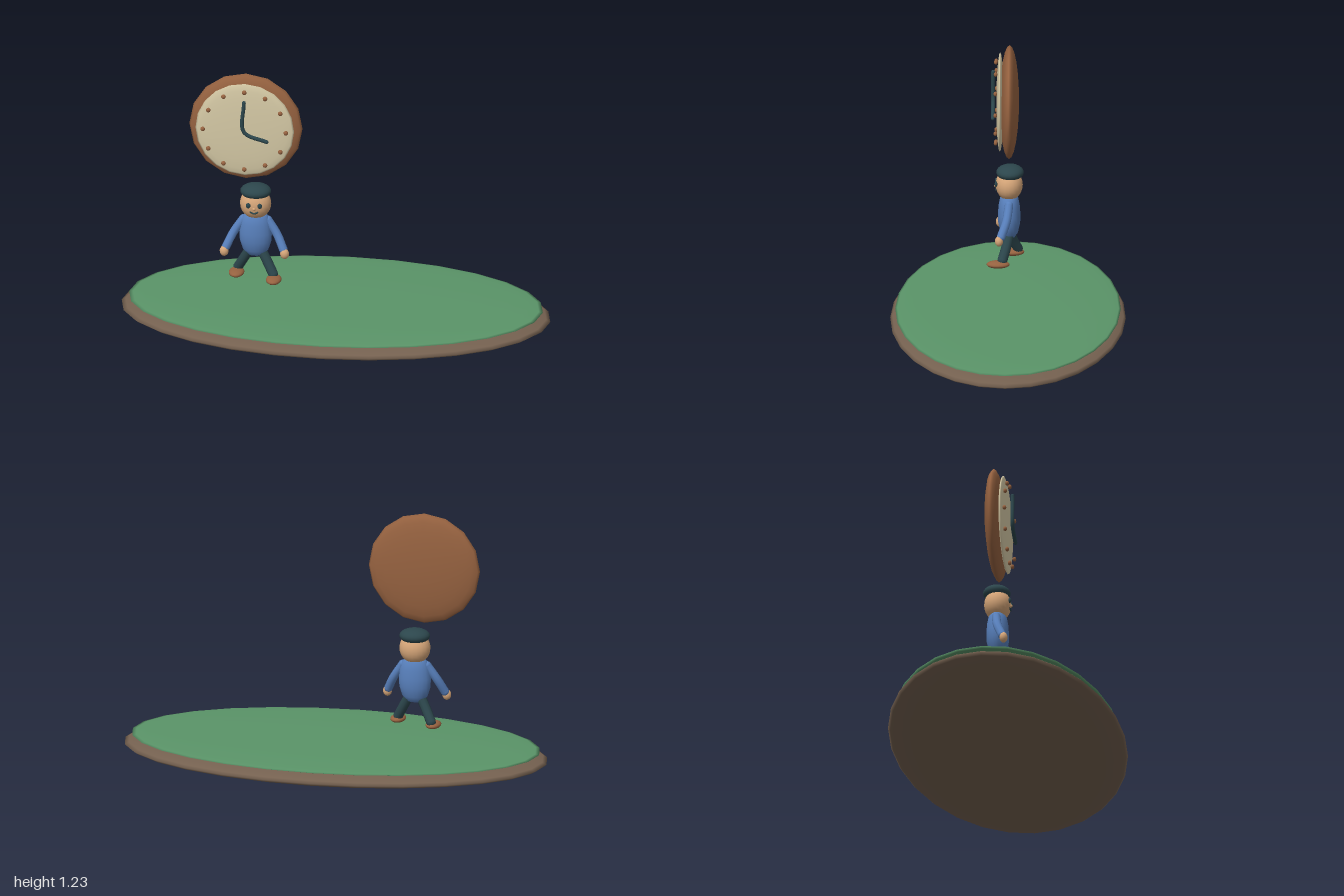
import * as THREE from 'three';

const paint = (name, color) => {
  const m = new THREE.MeshStandardMaterial({ color });
  m.name = name;
  return m;
};

export function createModel() {
  const grassGreen = paint('grass green', 0x5a9468);
  const earthBrown = paint('earth brown', 0x756150);
  const woodBrown = paint('wood brown', 0x966240);
  const cream = paint('cream', 0xd6caa6);
  const slate = paint('dark slate', 0x2c464c);
  const shirtBlue = paint('shirt blue', 0x5880bc);
  const skin = paint('skin', 0xd6a679);

  const model = new THREE.Group();
  model.name = 'clockAndWalker';

  const add = (parent, name, geometry, material, x = 0, y = 0, z = 0) => {
    const mesh = new THREE.Mesh(geometry, material);
    mesh.name = name;
    mesh.position.set(x, y, z);
    parent.add(mesh);
    return mesh;
  };
  const ball = (parent, name, material, [x, y, z], [rx, ry, rz], w = 20, h = 14) =>
    add(parent, name, new THREE.SphereGeometry(1, w, h).scale(rx, ry, rz), material, x, y, z);
  // round-ended tube through a few points
  const limb = (parent, name, material, points, r) => {
    const curve = new THREE.CatmullRomCurve3(points.map(p => new THREE.Vector3(...p)));
    add(parent, name, new THREE.TubeGeometry(curve, 14, r, 10), material);
    for (const p of [points[0], points[points.length - 1]])
      ball(parent, name + 'End', material, p, [r, r, r], 10, 8);
  };

  // island: flattened earth with a grass lens on top
  const island = new THREE.Group();
  island.name = 'island';
  model.add(island);
  ball(island, 'earth', earthBrown, [0, 0.061, 0], [1, 0.058, 0.545], 28, 16);
  ball(island, 'grass', grassGreen, [0, 0.106, 0], [0.965, 0.017, 0.522], 28, 16);

  // clock: its lenses have their poles along z
  const clock = new THREE.Group();
  clock.name = 'clock';
  clock.position.set(-0.42, 0.972, 0);
  model.add(clock);
  const disc = (name, material, r, depth, z, sides) =>
    add(clock, name, new THREE.SphereGeometry(1, sides, 12).rotateX(Math.PI / 2).scale(r, r, depth), material, 0, 0, z);
  disc('clockRim', woodBrown, 0.264, 0.045, 0, 16);
  disc('clockFace', cream, 0.23, 0.017, 0.043, 20);
  for (let i = 0; i < 12; i++) {
    const a = i * Math.PI / 6;
    ball(clock, 'hourMark', woodBrown, [Math.sin(a) * 0.194, Math.cos(a) * 0.194, 0.062], [0.011, 0.011, 0.009], 10, 8);
  }
  limb(clock, 'clockHands', slate, [[0, 0.148, 0.075], [0, 0, 0.075], [0.106, -0.044, 0.075]], 0.009);

  // walking figure
  const figure = new THREE.Group();
  figure.name = 'figure';
  figure.position.x = -0.375;
  model.add(figure);

  const profile = [[0, 0.322], [0.035, 0.328], [0.06, 0.355], [0.074, 0.4], [0.076, 0.44],
    [0.071, 0.485], [0.061, 0.52], [0.045, 0.533], [0, 0.537]].map(p => new THREE.Vector2(...p));
  add(figure, 'torso', new THREE.LatheGeometry(profile, 20).scale(1, 1, 0.69), shirtBlue);

  ball(figure, 'head', skin, [0, 0.585, 0], [0.073, 0.074, 0.063]);
  ball(figure, 'cap', slate, [0, 0.645, -0.004], [0.072, 0.035, 0.064]);
  ball(figure, 'nose', skin, [0, 0.579, 0.062], [0.008, 0.008, 0.008], 10, 8);
  const smile = new THREE.CatmullRomCurve3([[-0.02, 0.564, 0.058], [0, 0.556, 0.061], [0.02, 0.564, 0.058]]
    .map(p => new THREE.Vector3(...p)));
  add(figure, 'mouth', new THREE.TubeGeometry(smile, 10, 0.004, 8), slate);

  for (const s of [-1, 1]) {
    const side = s > 0 ? 'left' : 'right';
    ball(figure, side + 'Eye', slate, [s * 0.027, 0.595, 0.06], [0.011, 0.013, 0.007], 12, 8);

    // arms hang outward and slightly forward
    limb(figure, side + 'Arm', shirtBlue, [[s * 0.058, 0.503, 0], [s * 0.103, 0.435, 0.012], [s * 0.134, 0.372, 0.036]], 0.02);
    ball(figure, side + 'Hand', skin, [s * 0.141, 0.355, 0.045], [0.021, 0.025, 0.019], 14, 10);

    // left leg steps forward, right leg trails
    const ankleZ = s > 0 ? 0.03 : -0.04;
    limb(figure, side + 'Leg', slate, [[s * 0.028, 0.35, 0], [s * 0.058, 0.295, ankleZ * 0.45], [s * 0.086, 0.243, ankleZ]], 0.023);
    ball(figure, side + 'Foot', woodBrown, [s * 0.091, 0.225, s > 0 ? 0.05 : -0.015], [0.036, 0.017, 0.054], 16, 10);
  }
  return model;
}
